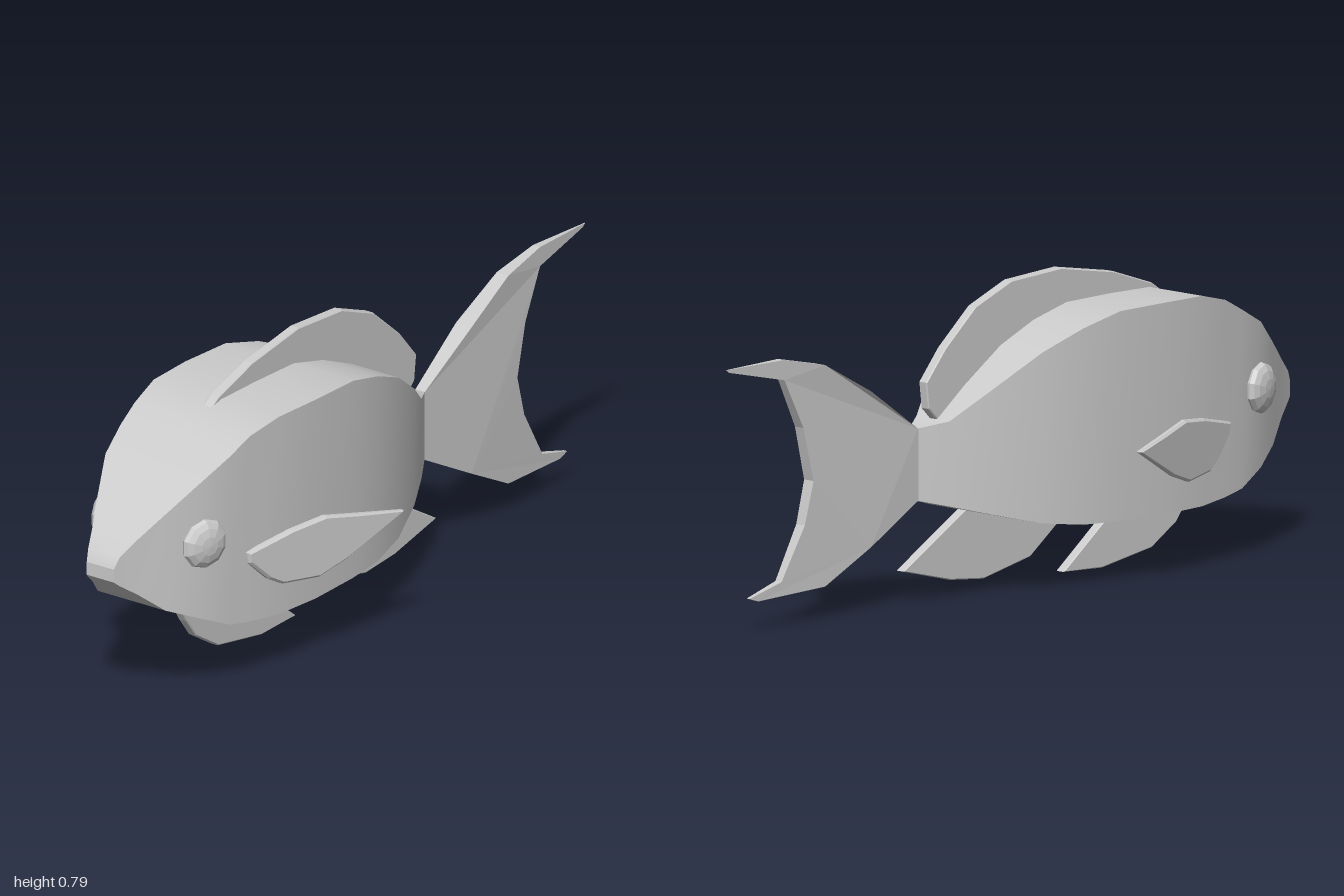
import * as THREE from 'three';

const grey = () => new THREE.MeshStandardMaterial({ color: 0xcccccc });

// Body stations, nose to tail root: z, half width, bottom, top
const STATIONS = [
  [1.0, 0.043, 0.365, 0.40], [0.985, 0.05, 0.352, 0.43], [0.94, 0.071, 0.32, 0.468],
  [0.87, 0.108, 0.262, 0.525], [0.78, 0.153, 0.222, 0.595], [0.69, 0.174, 0.182, 0.64],
  [0.62, 0.183, 0.17, 0.675], [0.52, 0.2, 0.162, 0.7], [0.38, 0.207, 0.16, 0.702],
  [0.22, 0.203, 0.163, 0.7], [0.1, 0.19, 0.167, 0.67], [-0.02, 0.162, 0.182, 0.62],
  [-0.15, 0.112, 0.215, 0.535], [-0.25, 0.058, 0.242, 0.46], [-0.32, 0.014, 0.26, 0.445],
];

// Four-sided loft: each side is its own strip, so it is smooth along and sharp at the corners
function bodyGeometry() {
  const rings = STATIONS.map(([z, w, b, t]) => [[w, b, z], [w, t, z], [-w, t, z], [-w, b, z]]);
  const pos = [], index = [];
  for (let k = 0; k < 4; k++) {
    const start = pos.length / 3;
    rings.forEach((r) => pos.push(...r[k], ...r[(k + 1) % 4]));
    for (let i = 0; i < rings.length - 1; i++) {
      const a = start + i * 2;
      index.push(a, a + 3, a + 1, a, a + 2, a + 3);
    }
  }
  // End caps
  [rings[0], [...rings[rings.length - 1]].reverse()].forEach((r) => {
    const s = pos.length / 3;
    r.forEach((p) => pos.push(...p));
    index.push(s, s + 1, s + 2, s, s + 2, s + 3);
  });
  const g = new THREE.BufferGeometry();
  g.setAttribute('position', new THREE.Float32BufferAttribute(pos, 3));
  g.setIndex(index);
  g.computeVertexNormals();
  return g;
}

// Thin plate from a side outline of [z, y] points; move(v) adjusts each vertex
function plate(name, outline, half, bevel, move) {
  const shape = new THREE.Shape(outline.map(([z, y]) => new THREE.Vector2(z, y)));
  const g = new THREE.ExtrudeGeometry(shape, {
    depth: 2 * (half - bevel), bevelEnabled: bevel > 0, bevelThickness: bevel,
    bevelSize: bevel, bevelOffset: -bevel, bevelSegments: 1,
  });
  g.translate(0, 0, bevel - half);
  g.rotateY(-Math.PI / 2);
  if (move) {
    const p = g.attributes.position, v = new THREE.Vector3();
    for (let i = 0; i < p.count; i++) {
      move(v.fromBufferAttribute(p, i));
      p.setXYZ(i, v.x, v.y, v.z);
    }
  }
  g.computeVertexNormals();
  const mesh = new THREE.Mesh(g, grey());
  mesh.name = name;
  return mesh;
}

export function createModel() {
  const model = new THREE.Group();
  model.name = 'fish';

  const body = new THREE.Mesh(bodyGeometry(), grey());
  body.name = 'body';
  model.add(body);

  // Forked tail, thickest a little behind its root and thin at the tips
  const tail = [
    [-0.3, 0.447], [-0.32, 0.445], [-0.5, 0.565], [-0.66, 0.652], [-0.8, 0.682], [-1, 0.68],
    [-0.99, 0.672], [-0.8, 0.63], [-0.735, 0.5], [-0.7, 0.36], [-0.73, 0.25], [-0.81, 0.115],
    [-0.92, 0.085], [-0.89, 0.075], [-0.66, 0.085], [-0.5, 0.166], [-0.32, 0.26], [-0.3, 0.258],
  ];
  model.add(plate('tailFin', tail, 1, 0, (v) => {
    const z = -v.z;
    v.x *= z < 0.52 ? 0.014 + (z - 0.3) * 0.055 : 0.026 - (z - 0.52) * 0.052;
  }));

  // Fins on the centre line
  model.add(plate('dorsalFin', [
    [0.56, 0.69], [0.53, 0.71], [0.39, 0.757], [0.2, 0.79], [0.02, 0.78], [-0.11, 0.73],
    [-0.22, 0.637], [-0.288, 0.558], [-0.28, 0.49], [-0.24, 0.45], [-0.1, 0.47], [0.15, 0.6], [0.5, 0.62],
  ], 0.014, 0.003));
  model.add(plate('pelvicFin', [
    [0.69, 0.19], [0.66, 0.14], [0.62, 0.087], [0.53, 0.032], [0.35, 0.003], [0.21, 0.01],
    [0.42, 0.17], [0.45, 0.25], [0.62, 0.25],
  ], 0.014, 0.003));
  model.add(plate('analFin', [
    [0.24, 0.175], [0.09, 0.065], [-0.08, 0.03], [-0.2, 0.042], [-0.37, 0.085],
    [-0.14, 0.22], [-0.08, 0.27], [0.16, 0.24],
  ], 0.014, 0.003));

  // Paired parts
  const pectoral = [
    [0.635, 0.362], [0.63, 0.333], [0.57, 0.275], [0.53, 0.252], [0.42, 0.243], [0.34, 0.27],
    [0.165, 0.36], [0.3, 0.385], [0.4, 0.404], [0.5, 0.392],
  ];
  for (const side of [1, -1]) {
    const label = side > 0 ? 'left' : 'right';
    // Side fin, splayed outward towards the back
    model.add(plate(label + 'PectoralFin', pectoral, 0.011, 0.006, (v) => {
      v.x += side * (0.182 + (0.63 - v.z) * 0.29);
    }));

    // Flattened eye lying against the cheek
    const g = new THREE.SphereGeometry(1, 10, 8);
    g.rotateZ(-Math.PI / 2);
    g.scale(0.028, 0.066, 0.066);
    const eye = new THREE.Mesh(g, grey());
    eye.material.flatShading = true;
    eye.name = label + 'Eye';
    eye.position.set(side * 0.158, 0.427, 0.775);
    eye.rotation.y = -side * 0.3;
    model.add(eye);
  }
  return model;
}
